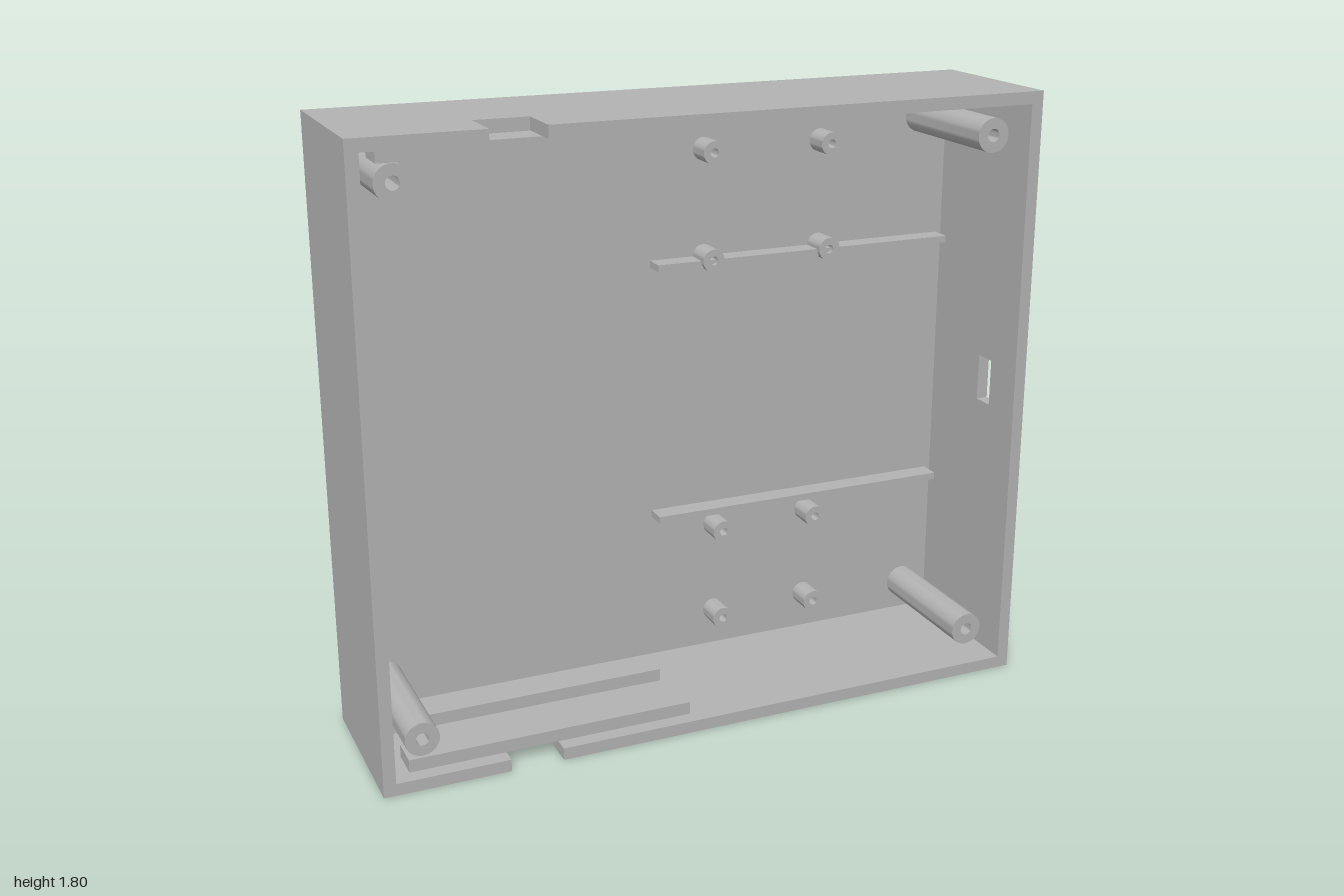
import * as THREE from 'three';
import { toCreasedNormals } from 'three/addons/utils/BufferGeometryUtils.js';

const W = 2, H = 1.8, D = 0.49, T = 0.036;   // outer size and wall thickness
const BACK = -D / 2, FLOOR = BACK + T;       // outer back and inner floor, in z

export function createModel() {
  const model = new THREE.Group();
  const grey = new THREE.MeshStandardMaterial({ color: 0xb2b2b2 });
  grey.name = 'grey plastic';

  const add = (name, geometry) => {
    const mesh = new THREE.Mesh(geometry, grey);
    mesh.name = name;
    model.add(mesh);
    return mesh;
  };
  // box given by its limits on each axis
  const block = (name, x0, x1, y0, y1, z0, z1) =>
    add(name, new THREE.BoxGeometry(x1 - x0, y1 - y0, z1 - z0))
      .position.set((x0 + x1) / 2, (y0 + y1) / 2, (z0 + z1) / 2);
  const polygon = (points) => new THREE.Shape(points.map(([x, y]) => new THREE.Vector2(x, y)));
  const extrude = (shape, depth) =>
    new THREE.ExtrudeGeometry(shape, { depth, bevelEnabled: false, curveSegments: 16 });
  // hollow round post rising from the inner floor
  const post = (name, x, y, radius, bore, front) => {
    const ring = new THREE.Shape().absarc(0, 0, radius, 0, Math.PI * 2, false);
    ring.holes.push(new THREE.Path().absarc(0, 0, bore, 0, Math.PI * 2, true));
    add(name, toCreasedNormals(extrude(ring, front - FLOOR), 0.6)).position.set(x, y, FLOOR);
  };

  // back panel and plain side wall
  block('backPanel', -W / 2, W / 2, 0, H, BACK, FLOOR);
  block('rightWall', -W / 2, -W / 2 + T, T, H - T, FLOOR, D / 2);

  // side wall with a small port opening (shape x runs along -z)
  const side = polygon([[-D / 2, T], [-FLOOR, T], [-FLOOR, H - T], [-D / 2, H - T]]);
  side.holes.push(polygon([[-0.115, 0.83], [-0.115, 0.97], [-0.048, 0.97], [-0.048, 0.83]]));
  add('leftWall', extrude(side, T).rotateY(Math.PI / 2)).position.x = W / 2 - T;

  // top and bottom walls, notched at the front edge
  const notched = polygon([
    [-W / 2, FLOOR], [W / 2, FLOOR], [W / 2, D / 2], [-0.48, D / 2],
    [-0.48, 0.1], [-0.635, 0.1], [-0.635, D / 2], [-W / 2, D / 2],
  ]);
  for (const [name, top] of [['topWall', H], ['bottomWall', T]]) {
    add(name, extrude(notched, T).rotateX(Math.PI / 2)).position.y = top;
  }

  // pairs of guide rails along the top and bottom walls
  for (const y of [T, H - T - 0.038]) {
    block('frontRail', -0.915, -0.07, y, y + 0.038, 0.105, 0.2);
    block('rearRail', -0.915, -0.07, y, y + 0.038, -0.125, -0.03);
  }

  // low ribs on the floor
  for (const y of [0.5, 1.284]) block('floorRib', -0.02, 0.945, y, y + 0.021, FLOOR, -0.145);

  // tall screw posts in the corners
  for (const x of [-0.873, 0.873]) {
    for (const y of [0.128, 1.674]) post('cornerPost', x, y, 0.05, 0.019, 0.197);
  }

  // short standoffs in two groups of four
  for (const [xs, ys] of [[[0.15, 0.53], [1.305, 1.622]], [[0.188, 0.505], [0.153, 0.445]]]) {
    for (const x of xs) for (const y of ys) post('standoff', x, y, 0.034, 0.013, -0.13);
  }

  return model;
}
